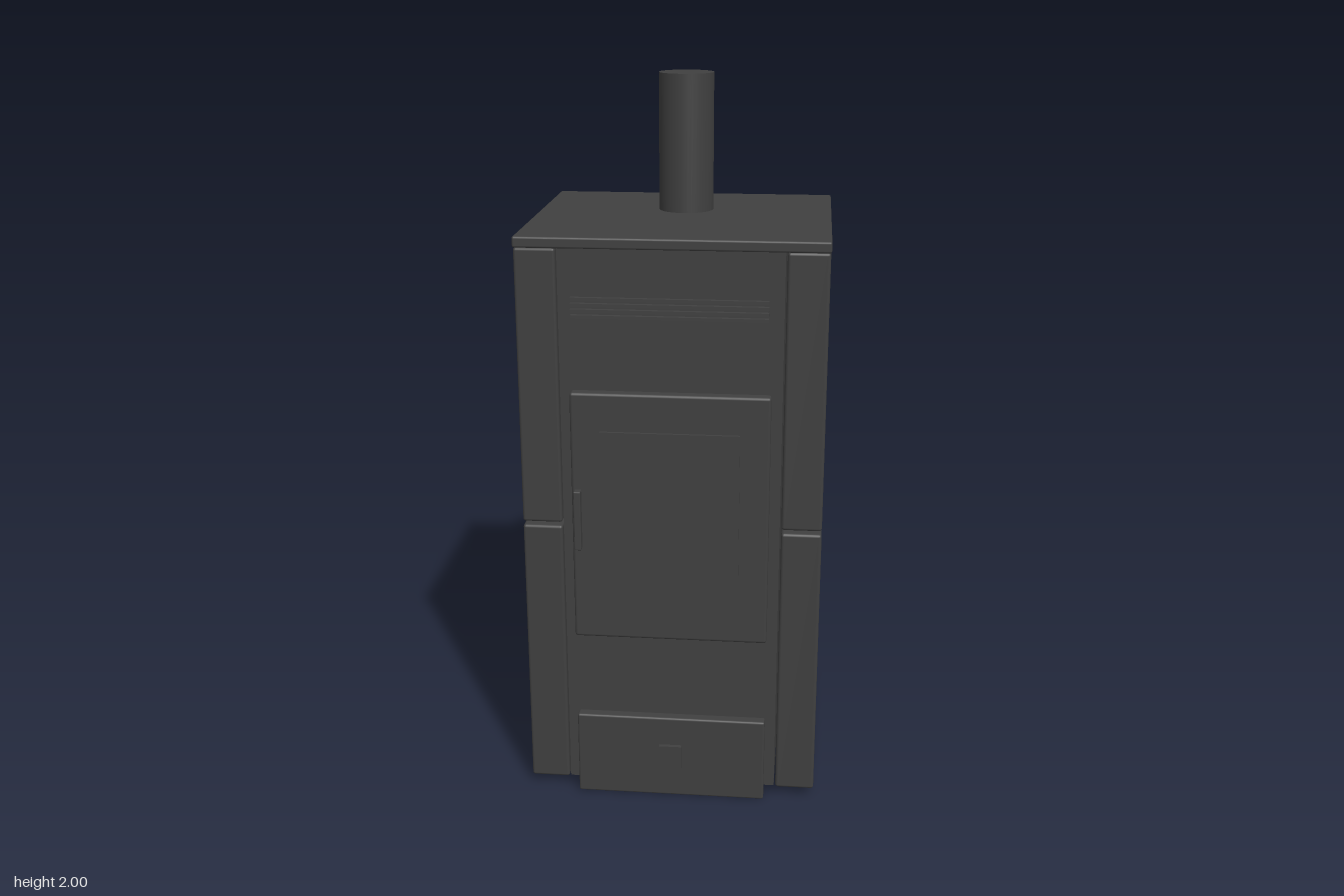
import * as THREE from 'three';
import { RoundedBoxGeometry } from 'three/addons/geometries/RoundedBoxGeometry.js';

export function createModel() {
  const stove = new THREE.Group();
  stove.name = 'stove';
  const iron = new THREE.MeshStandardMaterial({ color: 0x404040 });
  iron.name = 'dark iron';

  const add = (name, geometry, x, y, z) => {
    const mesh = new THREE.Mesh(geometry, iron);
    mesh.name = name;
    mesh.position.set(x, y, z);
    stove.add(mesh);
  };
  // Box given by its limits on each axis, with an optional rounded edge
  const box = (name, [x0, x1], [y0, y1], [z0, z1], radius = 0) => {
    const size = [x1 - x0, y1 - y0, z1 - z0];
    const geometry = radius
      ? new RoundedBoxGeometry(...size, 2, radius)
      : new THREE.BoxGeometry(...size);
    add(name, geometry, (x0 + x1) / 2, (y0 + y1) / 2, (z0 + z1) / 2);
  };

  // Firebox core and top plate
  box('core', [-0.296, 0.296], [0.03, 1.6], [-0.389, 0.341]);
  box('topPlate', [-0.412, 0.412], [1.59, 1.62], [-0.395, 0.344], 0.006);

  // Cladding: two stacked panels on each side, with a gap between them
  for (const side of [-1, 1]) {
    const x = side < 0 ? [-0.41, -0.3] : [0.3, 0.41];
    const name = side < 0 ? 'right' : 'left';
    box(name + 'LowerPanel', x, [0.025, 0.818], [-0.394, 0.343], 0.008);
    box(name + 'UpperPanel', x, [0.828, 1.591], [-0.394, 0.343], 0.008);
  }

  // Door, window pane and handle
  box('door', [-0.267, 0.267], [0.5, 1.212], [0.338, 0.374], 0.008);
  box('windowPane', [-0.187, 0.187], [0.633, 1.107], [0.37, 0.382]);
  box('doorHandle', [-0.259, -0.24], [0.77, 0.94], [0.37, 0.396], 0.003);

  // Ash drawer and its pull
  box('ashDrawer', [-0.267, 0.267], [0, 0.25], [0.338, 0.371], 0.006);
  box('drawerPull', [-0.032, 0.032], [0.09, 0.165], [0.367, 0.382]);

  // Air vent slats
  for (let i = 0; i < 4; i++) {
    const y = 1.416 + i * 0.0155;
    box('ventSlat', [-0.257, 0.257], [y, y + 0.009], [0.371, 0.383]);
  }

  // Flue pipe
  add('fluePipe', new THREE.CylinderGeometry(0.077, 0.077, 0.39, 48), 0, 1.805, -0.115);

  return stove;
}
